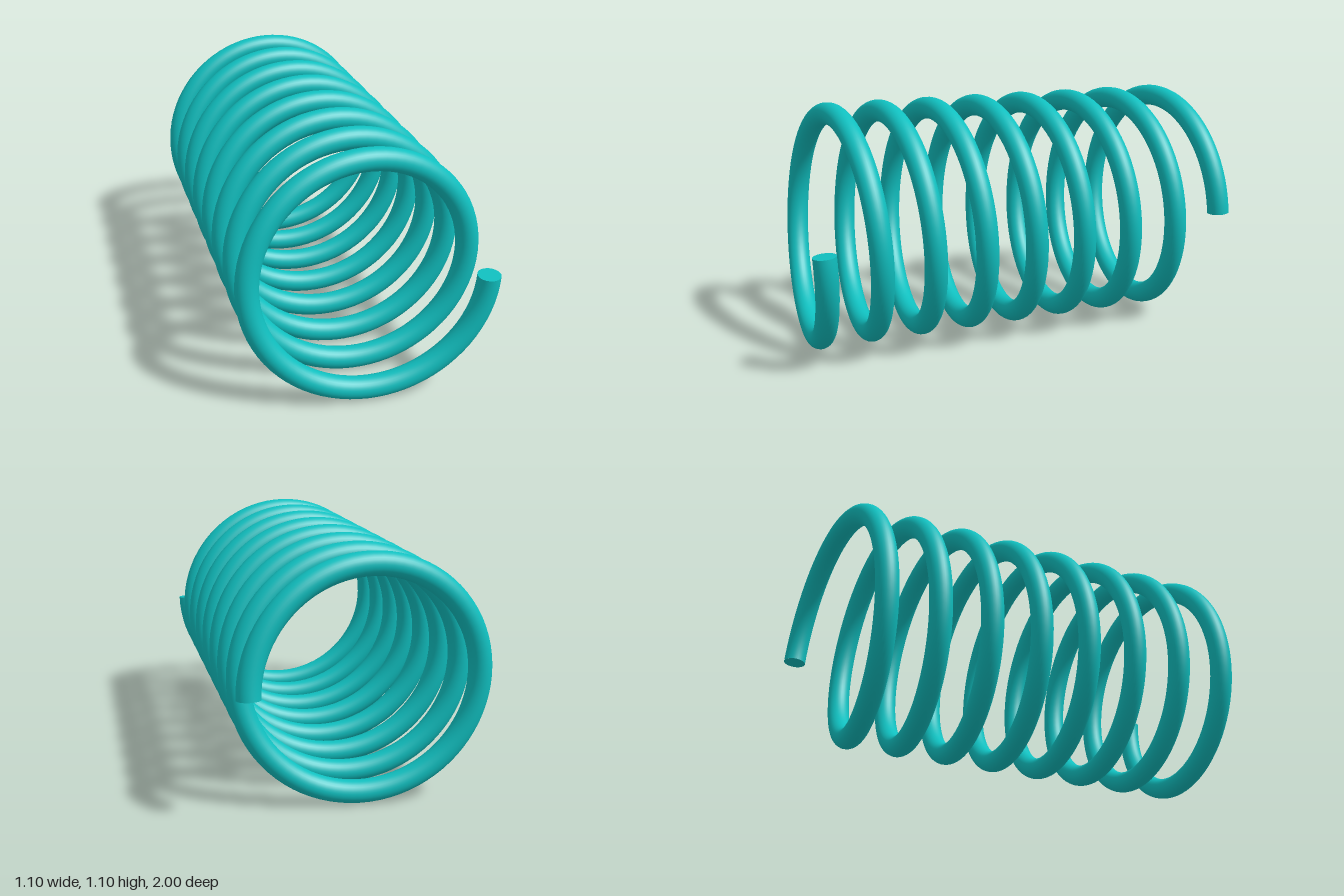
import * as THREE from 'three';

const TURNS = 8, COIL_RADIUS = 0.5, WIRE_RADIUS = 0.05, HALF_LENGTH = 0.95, CENTRE_Y = 0.55;

// Centre line of the wire: starts at the front on the +x side, winds downward first
class Helix extends THREE.Curve {
  getPoint(t, target = new THREE.Vector3()) {
    const a = -t * TURNS * Math.PI * 2;
    return target.set(
      Math.cos(a) * COIL_RADIUS,
      CENTRE_Y + Math.sin(a) * COIL_RADIUS,
      HALF_LENGTH * (1 - 2 * t)
    );
  }
}

export function createModel() {
  const model = new THREE.Group();
  model.name = 'coilSpring';
  const teal = new THREE.MeshStandardMaterial({ color: 0x10bfbf });
  teal.name = 'teal';
  const path = new Helix();

  // Coiled wire
  const coil = new THREE.Mesh(new THREE.TubeGeometry(path, TURNS * 80, WIRE_RADIUS, 32, false), teal);
  coil.name = 'coil';
  model.add(coil);

  // Flat cut ends, facing outward along the wire
  for (const [name, t, sign] of [['frontEnd', 0, -1], ['backEnd', 1, 1]]) {
    const end = new THREE.Mesh(new THREE.CircleGeometry(WIRE_RADIUS, 32), teal);
    end.name = name;
    end.position.copy(path.getPoint(t));
    const outward = path.getTangent(t).multiplyScalar(sign);
    end.quaternion.setFromUnitVectors(new THREE.Vector3(0, 0, 1), outward);
    model.add(end);
  }
  return model;
}
